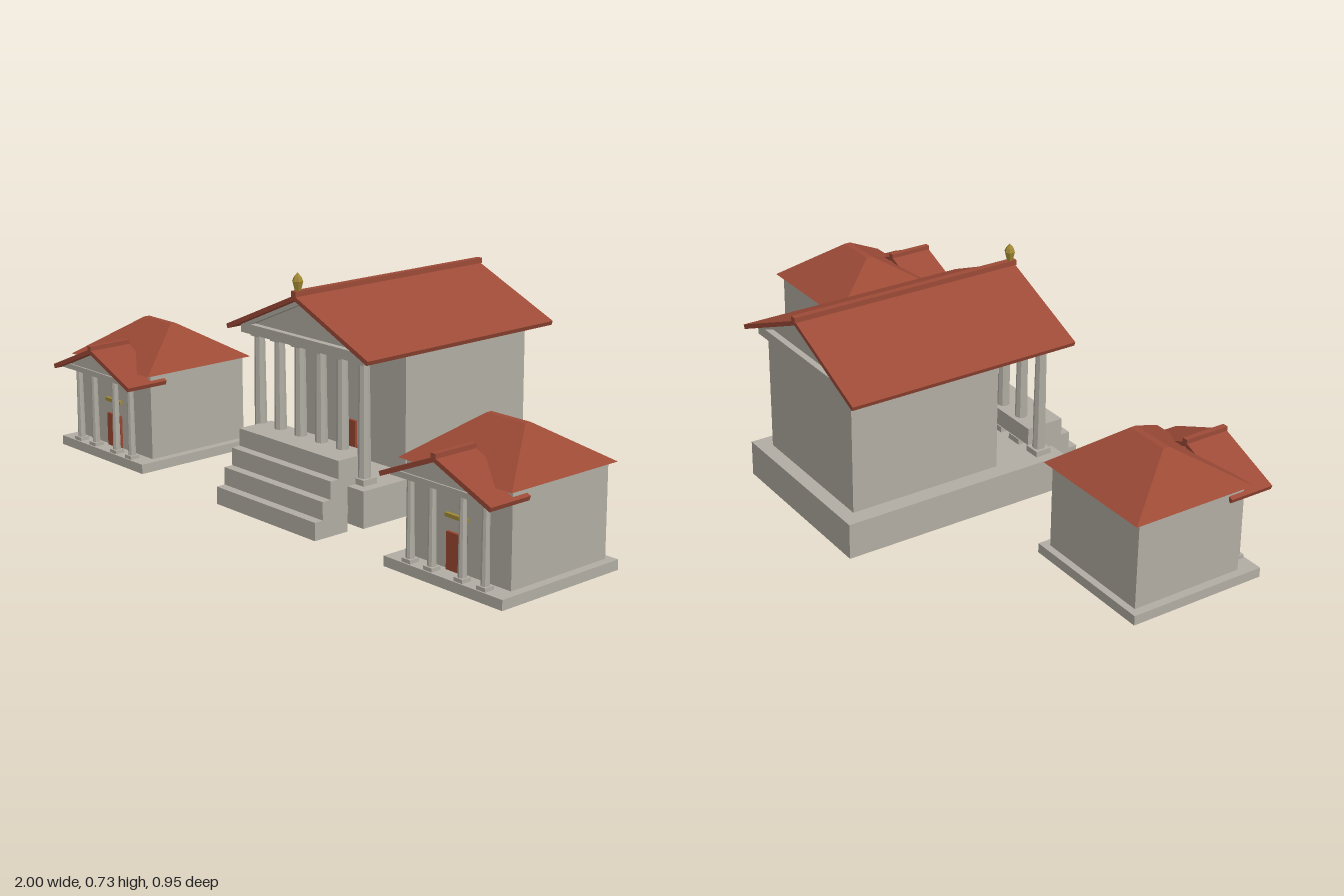
import * as THREE from 'three';

const mat = (name, color) => {
  const m = new THREE.MeshStandardMaterial({ color });
  m.name = name;
  return m;
};

export function createModel() {
  const stone = mat('stone', 0xb1ada3);
  const tile = mat('roofTile', 0x9c4a36);
  const wood = mat('doorWood', 0x984630);
  const gold = mat('gold', 0xa08834);

  const add = (parent, name, geo, material) => {
    const mesh = new THREE.Mesh(geo, material);
    mesh.name = name;
    parent.add(mesh);
    return mesh;
  };

  // box given by its limits on each axis
  const box = (parent, name, material, x0, x1, y0, y1, z0, z1) => {
    const g = new THREE.BoxGeometry(x1 - x0, y1 - y0, z1 - z0);
    g.translate((x0 + x1) / 2, (y0 + y1) / 2, (z0 + z1) / 2);
    return add(parent, name, g, material);
  };

  // outline in x,y pulled along z
  const prism = (parent, name, material, pts, z0, z1) => {
    const shape = new THREE.Shape(pts.map(([x, y]) => new THREE.Vector2(x, y)));
    const g = new THREE.ExtrudeGeometry(shape, { depth: z1 - z0, bevelEnabled: false });
    g.translate(0, 0, z0);
    return add(parent, name, g, material);
  };

  // two sloping slabs meeting at a ridge
  const gable = (parent, name, material, hw, eave, apex, t, z0, z1) => prism(parent, name, material, [
    [hw, eave], [0, apex], [-hw, eave],
    [-hw + t * 0.4, eave - t], [0, apex - t * 1.1], [hw - t * 0.4, eave - t],
  ], z0, z1);

  // tapered column with square base and capital
  const column = (parent, x, z, y0, y1, r) => {
    const c = new THREE.Group();
    c.name = 'column';
    c.position.set(x, 0, z);
    const plinth = r * 0.9;
    const shaft = new THREE.CylinderGeometry(r * 0.8, r, y1 - y0, 8).toNonIndexed();
    shaft.computeVertexNormals();
    shaft.translate(0, (y0 + y1) / 2, 0);
    add(c, 'shaft', shaft, stone);
    box(c, 'base', stone, -r * 1.3, r * 1.3, y0, y0 + plinth, -r * 1.3, r * 1.3);
    box(c, 'capital', stone, -r, r, y1 - plinth * 0.5, y1, -r, r);
    parent.add(c);
  };

  // ---- main temple ----
  const main = new THREE.Group();
  main.name = 'mainTemple';
  box(main, 'podium', stone, -0.293, 0.293, 0.025, 0.137, -0.475, 0.282);
  box(main, 'hall', stone, -0.24, 0.24, 0.137, 0.5, -0.43, 0.068);
  box(main, 'door', wood, -0.028, 0.028, 0.024, 0.25, 0.06, 0.077);
  for (let i = 0; i < 4; i++) {
    box(main, 'step', stone, -0.226, 0.226, i * 0.055, (i + 1) * 0.055, 0.283 - i * 0.03, 0.407 - i * 0.03);
  }
  for (let i = 0; i < 6; i++) column(main, -0.235 + i * 0.094, 0.226, 0.137, 0.5, 0.02);
  box(main, 'entablature', stone, -0.283, 0.283, 0.5, 0.53, -0.44, 0.26);
  prism(main, 'pediment', stone, [[-0.26, 0.525], [0.26, 0.525], [0, 0.64]], -0.42, 0.24);
  gable(main, 'rakingCornice', stone, 0.285, 0.527, 0.648, 0.015, -0.44, 0.26);
  gable(main, 'roof', tile, 0.318, 0.523, 0.66, 0.013, -0.47, 0.288);
  box(main, 'ridgeCap', tile, -0.01, 0.01, 0.657, 0.673, -0.474, 0.29);

  // bud-shaped ornament on the front of the ridge
  const bud = new THREE.LatheGeometry(
    [[0, 0], [0.009, 0], [0.017, 0.03], [0.012, 0.042], [0, 0.056]].map(([x, y]) => new THREE.Vector2(x, y)), 6,
  ).toNonIndexed();
  bud.computeVertexNormals();
  bud.translate(0, 0.671, 0.272);
  add(main, 'finial', bud, gold);

  // ---- side temples ----
  const sideTemple = (x) => {
    const g = new THREE.Group();
    g.name = 'sideTemple';
    g.position.x = x;
    box(g, 'platform', stone, -0.222, 0.222, 0.025, 0.055, -0.002, 0.445);
    box(g, 'walls', stone, -0.195, 0.195, 0.055, 0.328, 0.02, 0.385);
    box(g, 'door', wood, -0.035, 0.035, 0.024, 0.162, 0.38, 0.394);
    box(g, 'doorLintel', gold, -0.04, 0.04, 0.202, 0.213, 0.38, 0.396);
    const knob = add(g, 'doorKnob', new THREE.SphereGeometry(0.005, 8, 6), gold);
    knob.position.set(0.025, 0.088, 0.396);
    for (const cx of [-0.14, -0.057, 0.057, 0.14]) column(g, cx, 0.424, 0.055, 0.293, 0.0125);

    // hipped roof: rectangular frustum
    const hip = new THREE.BoxGeometry(2, 1, 2);
    const p = hip.attributes.position;
    for (let i = 0; i < p.count; i++) {
      const top = p.getY(i) > 0;
      p.setXYZ(i, p.getX(i) * (top ? 0.072 : 0.21), top ? 0.444 : 0.327,
        0.202 + p.getZ(i) * (top ? 0.01 : 0.203));
    }
    hip.computeVertexNormals();
    add(g, 'hipRoof', hip, tile);

    // porch gable
    box(g, 'porchEntablature', stone, -0.193, 0.193, 0.293, 0.31, 0.36, 0.45);
    prism(g, 'porchPediment', stone, [[-0.185, 0.3], [0.185, 0.3], [0, 0.378]], 0.36, 0.445);
    gable(g, 'porchRoof', tile, 0.208, 0.304, 0.39, 0.013, 0.332, 0.477);
    box(g, 'porchRidgeCap', tile, -0.009, 0.009, 0.386, 0.4, 0.33, 0.478);
    return g;
  };

  const model = new THREE.Group();
  model.name = 'templeComplex';
  model.add(main, sideTemple(-0.778), sideTemple(0.778));
  return model;
}
